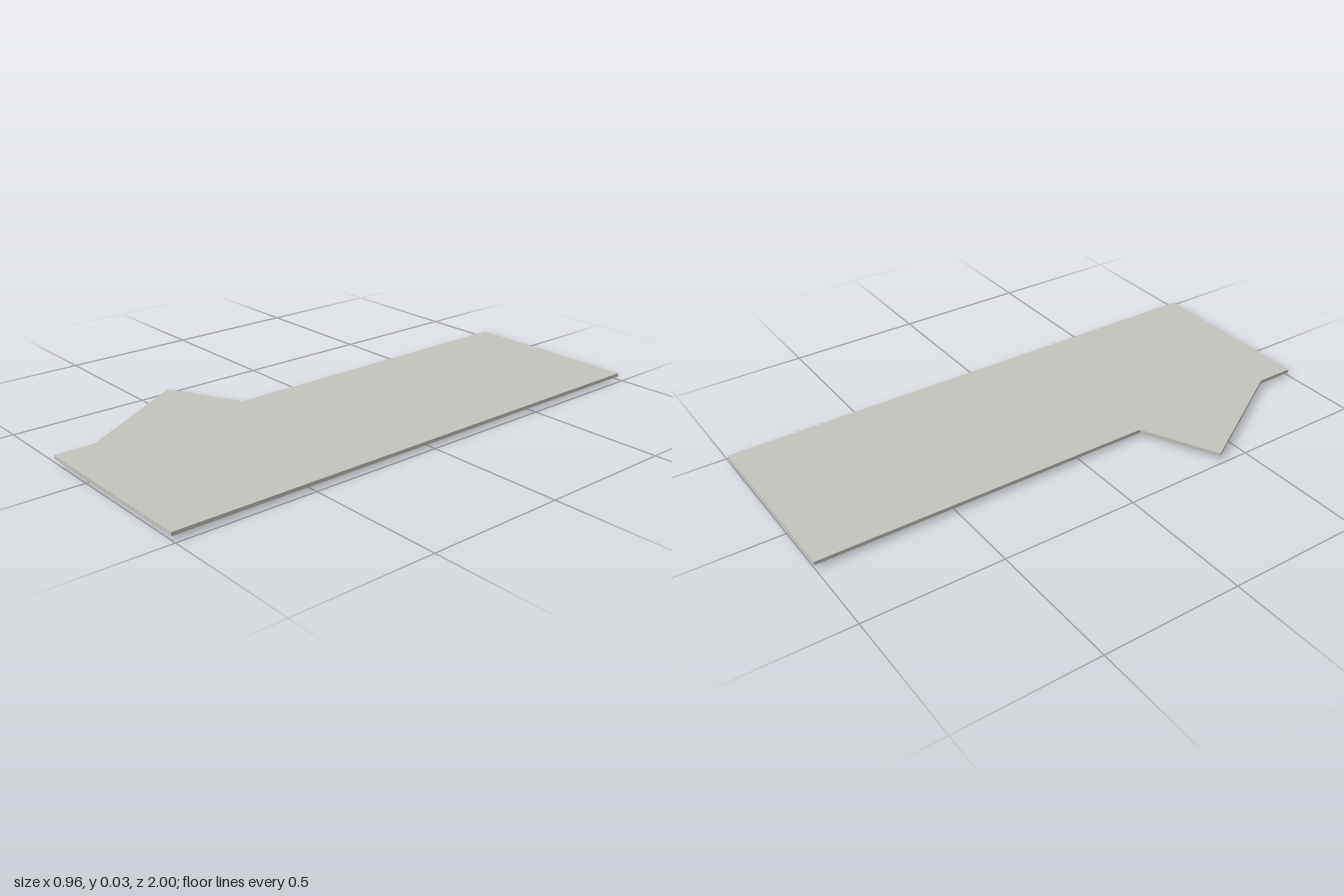
import * as THREE from 'three';

const BASE = 0.012; // underside of the slab
const TOP = 0.025;

export function createModel() {
  const model = new THREE.Group();
  model.name = 'floorSlab';
  const concrete = new THREE.MeshStandardMaterial({ color: 0xc4c3bc });
  concrete.name = 'warm grey';

  // Slab outline in plan (x, z), with the pointed bay on the right side
  const plan = [
    [0.48, 1], [0.48, -1], [-0.205, -1], [-0.205, 0.265],
    [-0.48, 0.4], [-0.205, 0.855], [-0.205, 1],
  ];
  const outline = new THREE.Shape(plan.map(([x, z]) => new THREE.Vector2(x, -z)));
  const slabGeometry = new THREE.ExtrudeGeometry(outline, { depth: TOP - BASE, bevelEnabled: false });
  slabGeometry.rotateX(-Math.PI / 2);
  slabGeometry.translate(0, BASE, 0);
  const slab = new THREE.Mesh(slabGeometry, concrete);
  slab.name = 'slab';
  model.add(slab);

  // Bar hanging from the underside, given by its plan bounds and depth
  const addBar = (name, x0, x1, z0, z1, depth) => {
    const bar = new THREE.Mesh(new THREE.BoxGeometry(x1 - x0, depth, z1 - z0), concrete);
    bar.position.set((x0 + x1) / 2, BASE - depth / 2, (z0 + z1) / 2);
    bar.name = name;
    model.add(bar);
  };

  // Deep cross rib in two lengths
  addBar('crossRibRight', -0.19, 0.127, 0.39, 0.41, BASE);
  addBar('crossRibLeft', 0.148, 0.455, 0.39, 0.41, BASE);

  // Short deep ribs near the left edge
  for (const z of [0.49, 0.78]) addBar('edgeRib', 0.443, 0.455, z, z + 0.13, BASE);

  // Shallow partition ridges, mirrored about the middle one
  const MID = -0.37, W = 0.009, LOW = 0.002;
  addBar('middleRidge', 0.03 + W, 0.455, MID - W, MID + W, LOW);
  addBar('middleRidgeCap', 0.03 - W, 0.03 + W, MID - 0.09, MID + 0.09, LOW);
  for (const side of [-1, 1]) {
    const z = MID + side * 0.187;
    const stub = MID + side * 0.137;
    addBar('outerRidge', -0.02, 0.455, z - W, z + W, LOW);
    addBar('ridgeStub', 0.133 - W, 0.133 + W, stub - 0.041, stub + 0.041, LOW);
  }
  return model;
}
